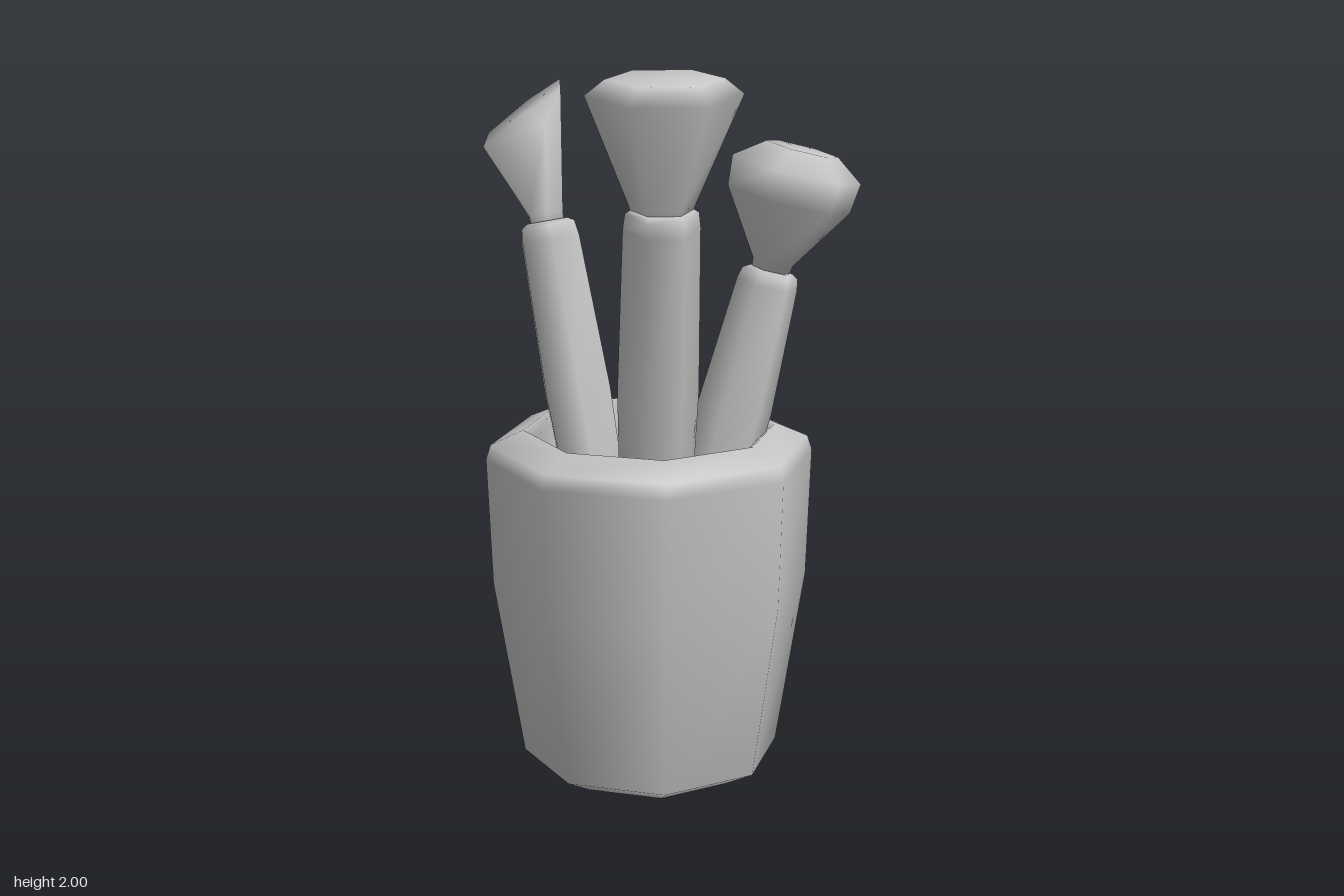
import * as THREE from 'three';

const grey = new THREE.MeshStandardMaterial({ color: 0xc4c4c4 });
grey.name = 'plain grey';

// Smooth closed skin through rings of points, capped at both ends
function loft(name, rings) {
  const n = rings[0].length, pos = [], idx = [];
  rings.forEach(r => r.forEach(p => pos.push(p.x, p.y, p.z)));
  for (let k = 0; k < rings.length - 1; k++) {
    for (let i = 0; i < n; i++) {
      const a = k * n + i, b = k * n + (i + 1) % n;
      idx.push(a, a + n, b, b, a + n, b + n);
    }
  }
  const cap = (k, up) => {
    const c = new THREE.Vector3();
    rings[k].forEach(p => c.addScaledVector(p, 1 / n));
    const m = pos.length / 3;
    pos.push(c.x, c.y, c.z);
    for (let i = 0; i < n; i++) {
      const a = k * n + i, b = k * n + (i + 1) % n;
      idx.push(m, up ? b : a, up ? a : b);
    }
  };
  cap(0, false);
  cap(rings.length - 1, true);
  const g = new THREE.BufferGeometry();
  g.setAttribute('position', new THREE.Float32BufferAttribute(pos, 3));
  g.setIndex(idx);
  g.computeVertexNormals();
  const mesh = new THREE.Mesh(g, grey);
  mesh.name = name;
  return mesh;
}

// Rings along a leaning axis; each profile entry is [height, radius x, radius z]
function leaningRings(base, slopeX, slopeZ, profile, sides, phase = 0) {
  const q = new THREE.Quaternion().setFromUnitVectors(
    new THREE.Vector3(0, 1, 0), new THREE.Vector3(slopeX, 1, slopeZ).normalize());
  return profile.map(([y, rx, rz = rx]) => {
    const t = y - base[1];
    const c = new THREE.Vector3(base[0] + slopeX * t, y, base[2] + slopeZ * t);
    return Array.from({ length: sides }, (_, i) => {
      const a = phase + i * 2 * Math.PI / sides;
      return new THREE.Vector3(rx * Math.cos(a), 0, rz * Math.sin(a)).applyQuaternion(q).add(c);
    });
  });
}

export function createModel() {
  const model = new THREE.Group();
  model.name = 'brushCup';

  // Eight-sided cup with a thick rim and hollow inside
  const cupProfile = [
    [0, 0.27], [0.05, 0.36], [0.55, 0.44], [0.91, 0.453], [0.95, 0.44],
    [0.99, 0.35], [0.965, 0.32], [0.6, 0.3], [0.47, 0.22],
  ];
  model.add(loft('cup', leaningRings([-0.05, 0, -0.035], 0, 0, cupProfile, 8)));

  const addBrush = (name, ...parts) => {
    const g = new THREE.Group();
    g.name = name;
    g.add(...parts);
    model.add(g);
  };

  // Wide fan brush leaning forward
  const fan = (p) => leaningRings([-0.055, 0.45, 0.08], 0, 0.195, p, 6);
  addBrush('fanBrush',
    loft('fanHandle', fan([[0.45, 0.085], [1.15, 0.108], [1.6, 0.1], [1.64, 0.095], [1.65, 0.08]])),
    loft('fanHead', fan([[1.62, 0.075, 0.06], [1.66, 0.085, 0.065], [1.945, 0.2, 0.125], [1.985, 0.15, 0.085]])));

  // Round brush leaning to the left
  const round = (p) => leaningRings([0.055, 0.55, 0.007], 0.25, 0, p, 6);
  addBrush('roundBrush',
    loft('roundHandle', round([[0.55, 0.085], [1.05, 0.104], [1.39, 0.085], [1.42, 0.078], [1.43, 0.06]])),
    loft('roundHead', round([[1.4, 0.05], [1.45, 0.056], [1.62, 0.172], [1.7, 0.18], [1.755, 0.1]])));

  // Slanted brush leaning to the back right
  const slant = (p) => leaningRings([-0.15, 0.5, -0.115], -0.157, -0.19, p, 6, Math.PI / 6);
  const tip = [
    [-0.265, 1.885, -0.34], [-0.315, 1.8, -0.245], [-0.485, 1.735, -0.275],
    [-0.465, 1.76, -0.385], [-0.35, 1.84, -0.475], [-0.26, 1.9, -0.455],
  ].map(p => new THREE.Vector3(...p));
  addBrush('slantedBrush',
    loft('slantedHandle', slant([[0.5, 0.085], [1.05, 0.104], [1.47, 0.092], [1.51, 0.085], [1.52, 0.065]])),
    loft('slantedHead', [...slant([[1.49, 0.05], [1.54, 0.055]]), tip]));

  return model;
}
